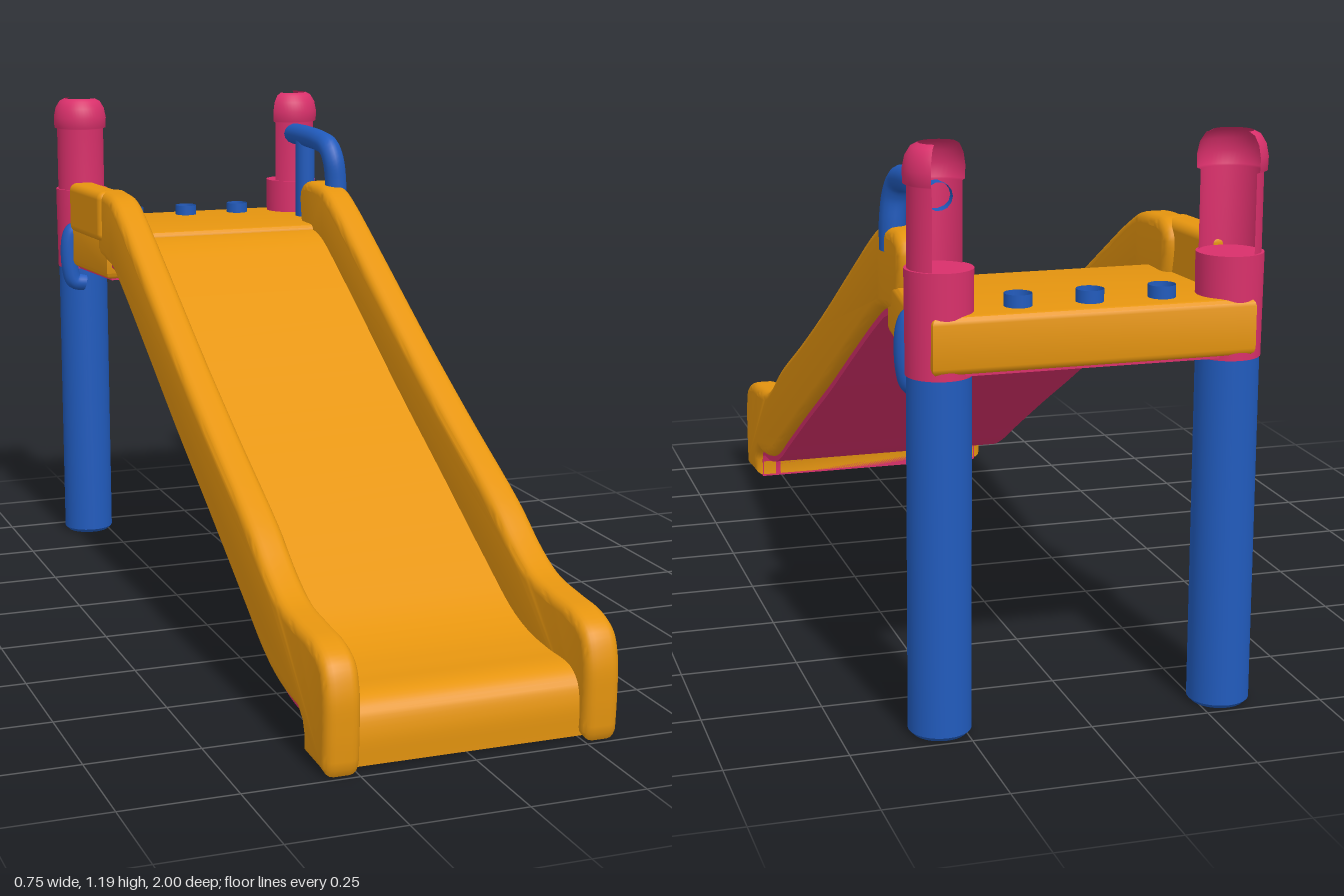
import * as THREE from 'three';
import { toCreasedNormals } from 'three/addons/utils/BufferGeometryUtils.js';
import { RoundedBoxGeometry } from 'three/addons/geometries/RoundedBoxGeometry.js';

export function createModel() {
  const model = new THREE.Group();
  const paint = (name, color, side = THREE.FrontSide) => {
    const m = new THREE.MeshStandardMaterial({ color, side });
    m.name = name;
    return m;
  };
  const orange = paint('orange plastic', 0xe6950f);
  const blue = paint('blue plastic', 0x215bbd, THREE.DoubleSide);
  const pink = paint('pink plastic', 0xd9306b, THREE.DoubleSide);

  const add = (name, geometry, material, x = 0, y = 0, z = 0) => {
    const mesh = new THREE.Mesh(geometry, material);
    mesh.name = name;
    mesh.position.set(x, y, z);
    model.add(mesh);
    return mesh;
  };

  // Side profile given as [z, y], extruded across x and centred on x = 0
  const sideExtrude = (points, width, bevel = 0) => {
    const shape = new THREE.Shape(points.map(([z, y]) => new THREE.Vector2(z, y)));
    const g = new THREE.ExtrudeGeometry(shape, {
      depth: width - 2 * bevel, bevelEnabled: bevel > 0, bevelSize: bevel,
      bevelThickness: bevel, bevelOffset: -bevel, bevelSegments: 4,
    });
    g.translate(0, 0, bevel - width / 2);
    g.rotateY(-Math.PI / 2);
    return toCreasedNormals(g, 0.7);
  };

  // Smooth line through a few [z, y] points
  const smooth = (points, n = 40) =>
    new THREE.CatmullRomCurve3(points.map(([z, y]) => new THREE.Vector3(z, y, 0)), false, 'centripetal')
      .getPoints(n).map((p) => [p.x, p.y]);

  // Shared underside line of the chute, from top to foot
  const under = [
    ...smooth([[-0.64, 0.785], [-0.55, 0.772], [-0.47, 0.735], [-0.25, 0.612], [0, 0.468],
      [0.25, 0.332], [0.5, 0.192], [0.6, 0.135], [0.67, 0.105], [0.75, 0.085], [0.83, 0.078]]),
    [0.852, 0.07], [0.86, 0.05], [0.86, 0.008], [0.95, 0.004],
  ];
  const lifted = under.map(([z, y]) => [z, y + (z > 0.84 ? 0.005 : 0.015)]);

  // Side rails
  const railTop = smooth([[0.995, 0.02], [1, 0.1], [0.998, 0.18], [0.975, 0.235], [0.92, 0.262],
    [0.82, 0.272], [0.72, 0.285], [0.63, 0.325], [0.52, 0.395], [0.25, 0.532], [0, 0.665],
    [-0.3, 0.835], [-0.48, 0.935], [-0.55, 0.965], [-0.62, 0.972], [-0.69, 0.97],
    [-0.72, 0.945], [-0.718, 0.88], [-0.695, 0.82], [-0.655, 0.8]], 90);
  const railGeo = sideExtrude([...railTop, ...lifted, [0.985, 0.004]], 0.078, 0.022);
  for (const s of [-1, 1]) add(s > 0 ? 'leftRail' : 'rightRail', railGeo, orange, s * 0.285);

  // Sliding surface with rounded front lip
  const bedTop = smooth([[0.965, 0.01], [0.968, 0.08], [0.955, 0.125], [0.92, 0.148], [0.82, 0.152],
    [0.73, 0.16], [0.64, 0.185], [0.5, 0.258], [0.25, 0.397], [0, 0.533], [-0.25, 0.677],
    [-0.45, 0.79], [-0.53, 0.832], [-0.58, 0.848], [-0.64, 0.855]], 60);
  add('slideBed', sideExtrude([...bedTop, ...lifted], 0.51), orange);

  // Underside skin
  const skin = [...under, ...under.map(([z, y]) => [z + 0.012, y + 0.022]).reverse()];
  add('slideUnderside', sideExtrude(skin, 0.61), pink);

  // Platform, slightly flared toward the posts
  const plan = (inset) => new THREE.Shape([[-0.33, 1], [0.33, 1], [0.345, 0.86], [0.318, 0.61], [-0.318, 0.61], [-0.345, 0.86]]
    .map(([x, z]) => new THREE.Vector2(x - Math.sign(x) * inset, z - Math.sign(z - 0.8) * inset)));
  const deck = new THREE.ExtrudeGeometry(plan(0), {
    depth: 0.085, bevelSize: 0.015, bevelThickness: 0.015, bevelOffset: -0.015, bevelSegments: 3,
  });
  deck.rotateX(-Math.PI / 2);
  add('platform', toCreasedNormals(deck, 0.7), orange, 0, 0.765, 0);
  const base = new THREE.ExtrudeGeometry(plan(0.016), { depth: 0.008, bevelEnabled: false });
  base.rotateX(-Math.PI / 2);
  add('platformUnderside', base, pink, 0, 0.745, 0);

  // Right rail runs on along the platform
  add('rightRailExtension', new RoundedBoxGeometry(0.075, 0.13, 0.24, 4, 0.02), orange, -0.305, 0.908, -0.75)
    .rotation.y = 0.09;

  // Open pegs on the platform
  for (const x of [-0.157, -0.007, 0.14])
    add('peg', new THREE.CylinderGeometry(0.028, 0.028, 0.035, 20, 1, true), blue, x, 0.873, -0.93);

  const tube = (name, points, r) => {
    const path = new THREE.CatmullRomCurve3(points.map((p) => new THREE.Vector3(...p)), false, 'centripetal');
    add(name, new THREE.TubeGeometry(path, 48, r, 14), blue);
  };

  // Posts: full lower legs and collars, open half-shell uppers facing outward and forward
  const lathe = (pts) => pts.map(([r, y]) => new THREE.Vector2(r, y));
  const legGeo = toCreasedNormals(new THREE.LatheGeometry(lathe([[0, 0.004], [0.055, 0.004], [0.064, 0.013], [0.064, 0.74]]), 32), 0.7);
  const shell = lathe([[0.062, 0.94], [0.062, 1.11], [0.069, 1.113], [0.07, 1.14],
    [0.065, 1.165], [0.054, 1.183], [0.04, 1.19]]);
  const arc = 3.75;
  for (const s of [-1, 1]) {
    const side = s > 0 ? 'left' : 'right';
    const x = s * 0.299, z = -0.931;
    add(side + 'Leg', legGeo, blue, x, 0, z);
    add(side + 'PostCollar', new THREE.CylinderGeometry(0.068, 0.066, 0.21, 32), pink, x, 0.845, z);
    add(side + 'PostTop', new THREE.LatheGeometry(shell, 28, s * Math.PI / 4 - arc / 2, arc), pink, x, 0, z);

    // Looped bracket beside the platform
    tube(side + 'Bracket', [[s * 0.31, 0.845, -0.875], [s * 0.338, 0.843, -0.875], [s * 0.349, 0.82, -0.875],
      [s * 0.349, 0.74, -0.875], [s * 0.338, 0.708, -0.875], [s * 0.31, 0.702, -0.875]], 0.022);
  }

  // Grab handle on the left side
  tube('handle', [[0.29, 1.08, -0.9], [0.29, 1.082, -0.78], [0.29, 1.078, -0.66], [0.292, 1.068, -0.615],
    [0.297, 1.035, -0.594], [0.302, 0.98, -0.59], [0.302, 0.92, -0.59]], 0.028);
  tube('handleSupport', [[0.29, 1.08, -0.79], [0.29, 0.96, -0.79], [0.29, 0.85, -0.79]], 0.026);

  return model;
}
